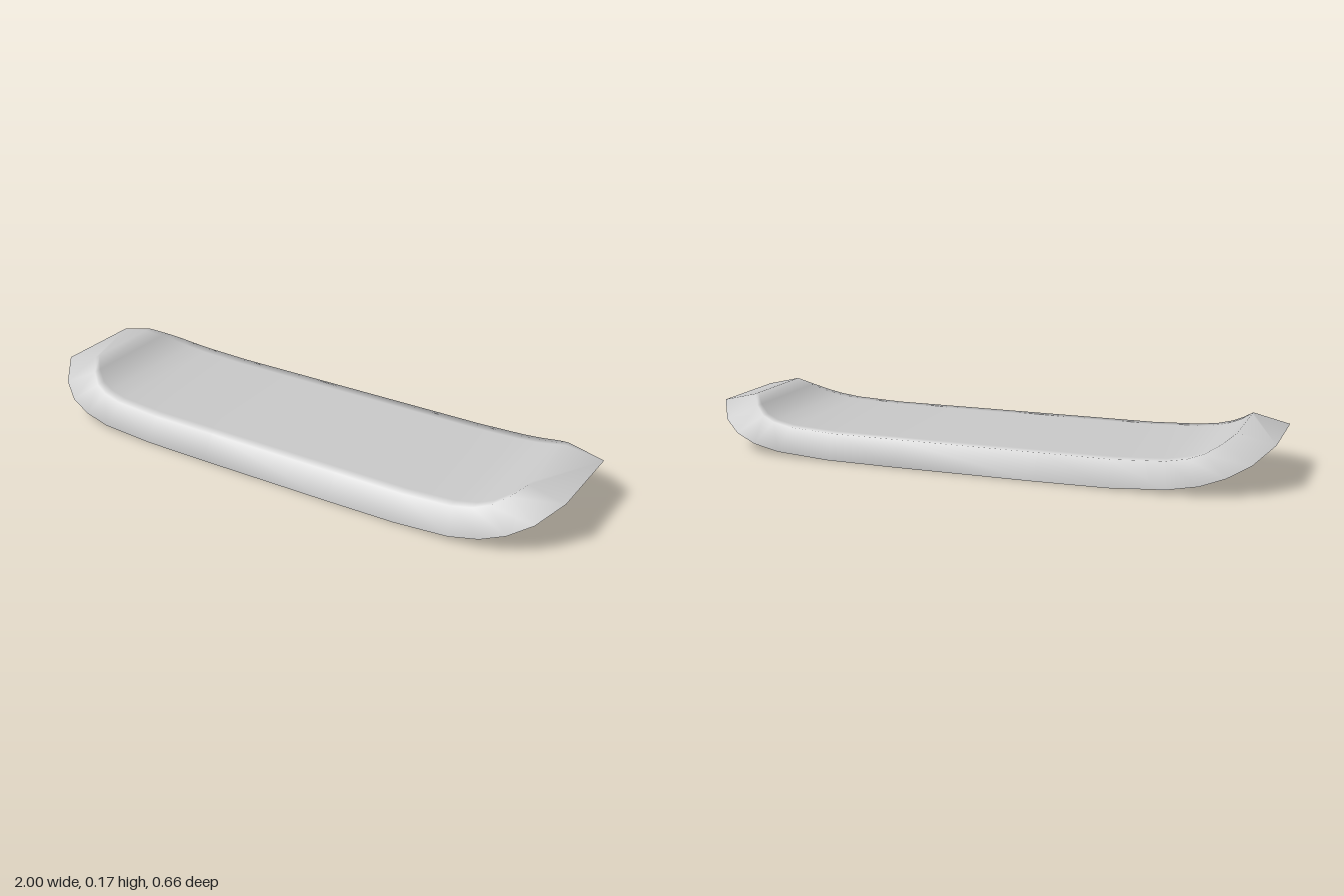
import * as THREE from 'three';

// Half-length stations: bottom edge x, y, half-width; top edge x, y, half-width
const HALF = [
  [0.25, 0.0, 0.33, 0.25, 0.085, 0.283],
  [0.5, 0.002, 0.33, 0.5, 0.085, 0.283],
  [0.69, 0.015, 0.33, 0.67, 0.093, 0.278],
  [0.79, 0.032, 0.318, 0.74, 0.104, 0.268],
  [0.87, 0.06, 0.298, 0.79, 0.12, 0.25],
  [0.94, 0.095, 0.25, 0.835, 0.145, 0.212],
  [1.0, 0.145, 0.16, 0.875, 0.175, 0.16],
];

// Closed cross-section loop, from the bottom at -z over the top to +z
function ring([xb, yb, wb, xt, yt, wt]) {
  const bottom = (k) => [xb, yb, k * wb];
  const top = (k) => [xt, yt, k * wt];
  return [bottom(-1), top(-1), top(-0.86), top(0.86), top(1), bottom(1), bottom(0.9), bottom(-0.9)];
}

function deckGeometry() {
  const mirrored = HALF.map(([xb, yb, wb, xt, yt, wt]) => [-xb, yb, wb, -xt, yt, wt]).reverse();
  const stations = [...mirrored, ...HALF];
  const n = 8;
  const positions = stations.flatMap((s) => ring(s).flat());
  const index = [];

  // Skin between neighbouring cross-sections
  for (let i = 0; i < stations.length - 1; i++) {
    for (let j = 0; j < n; j++) {
      const a = i * n + j;
      const b = i * n + ((j + 1) % n);
      index.push(a, b, b + n, a, b + n, a + n);
    }
  }

  // Sloping faces at the nose and tail
  const last = (stations.length - 1) * n;
  for (let k = 1; k < n - 1; k++) {
    index.push(0, k + 1, k);
    index.push(last, last + k, last + k + 1);
  }

  const geometry = new THREE.BufferGeometry();
  geometry.setAttribute('position', new THREE.Float32BufferAttribute(positions, 3));
  geometry.setIndex(index);
  geometry.computeVertexNormals();
  return geometry;
}

export function createModel() {
  const group = new THREE.Group();
  group.name = 'skateboardDeck';
  const material = new THREE.MeshStandardMaterial({ color: 0xcccccc });
  const deck = new THREE.Mesh(deckGeometry(), material);
  deck.name = 'deck';
  group.add(deck);
  return group;
}
